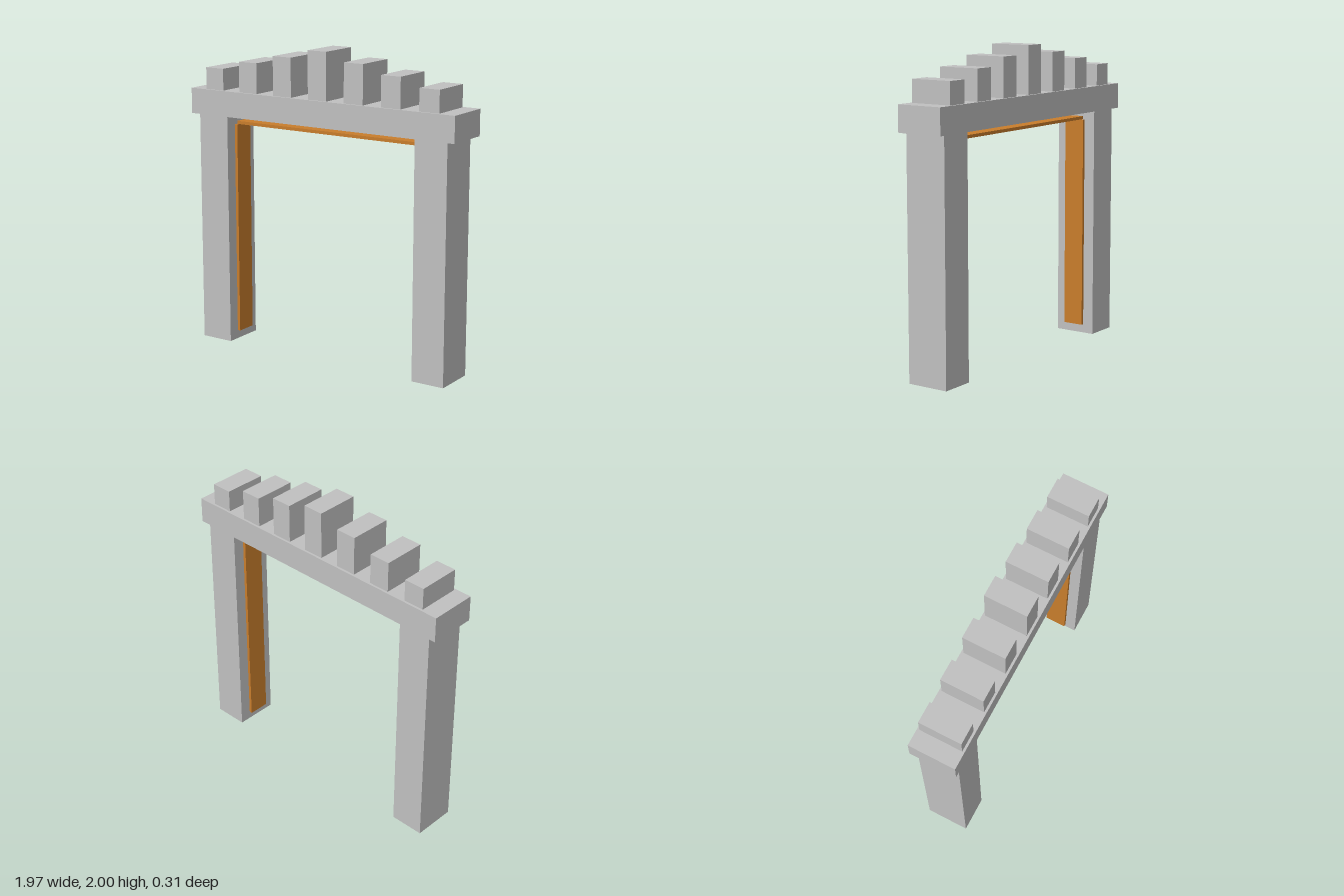
import * as THREE from 'three';

export function createModel() {
  const model = new THREE.Group();
  const stone = new THREE.MeshStandardMaterial({ color: 0xc0c0c0 });
  stone.name = 'grey stone';
  const amber = new THREE.MeshStandardMaterial({ color: 0xc87d2c });
  amber.name = 'amber trim';

  // Box with its bottom at y0 and top at y1, centred on x and z = 0
  function block(name, material, x, y0, y1, width, depth) {
    const mesh = new THREE.Mesh(new THREE.BoxGeometry(width, y1 - y0, depth), material);
    mesh.name = name;
    mesh.position.set(x, (y0 + y1) / 2, 0);
    model.add(mesh);
  }

  // Pillars with trim panels floating just off their inner faces
  for (const [side, label] of [[1, 'left'], [-1, 'right']]) {
    block(label + 'Pillar', stone, side * 0.816, 0, 1.525, 0.224, 0.28);
    block(label + 'TrimPanel', amber, side * 0.687, 0.06, 1.465, 0.02, 0.14);
  }

  // Crossbeam and the trim below it
  block('crossbeam', stone, 0, 1.525, 1.692, 1.966, 0.31);
  block('topTrimPanel', amber, 0, 1.47, 1.49, 1.35, 0.14);

  // Crenellations stepping up towards the middle
  for (let i = -3; i <= 3; i++) {
    const top = 2 - Math.abs(i) * 0.0555;
    block('crenellation' + (i + 4), stone, i * 0.267, 1.692, top, 0.138, 0.28);
  }

  return model;
}
